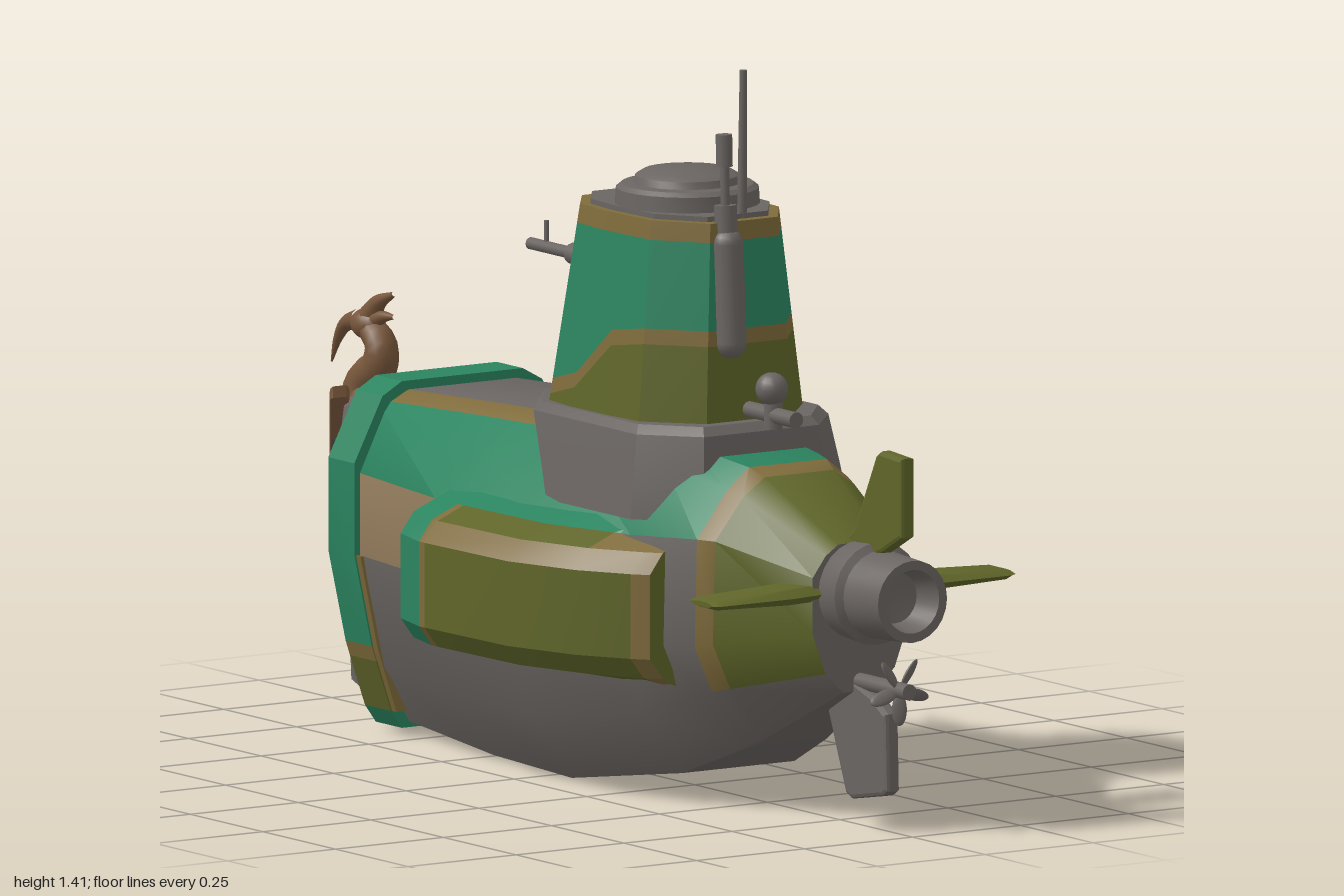
import * as THREE from 'three';
import { toCreasedNormals } from 'three/addons/utils/BufferGeometryUtils.js';

const mat = (name, color, side = THREE.FrontSide) => {
  const m = new THREE.MeshStandardMaterial({ color, side });
  m.name = name;
  return m;
};

export function createModel() {
  const root = new THREE.Group();
  root.name = 'submarine';
  const gray = mat('hull gray', 0x6a6562), teal = mat('teal paint', 0x2b8460), olive = mat('olive paint', 0x5f6529),
    ochre = mat('ochre trim', 0x7f6b3b), tan = mat('tan patch', 0x937c5c), brown = mat('carved brown', 0x77563b),
    dark = mat('dark opening', 0x3b3836);

  const add = (name, geo, m, x = 0, y = 0, z = 0) => {
    const mesh = new THREE.Mesh(geo, m);
    mesh.name = name;
    mesh.position.set(x, y, z);
    root.add(mesh);
    return mesh;
  };

  // skin a list of closed rings of [x, y, z]; pick(i, j) colours each quad, caps close the ends
  function loft(name, rings, pick, capA, capB, crease = 0.6) {
    const buckets = new Map();
    let volume = 0;
    const v = p => new THREE.Vector3(...p);
    const tri = (m, a, b, c) => {
      if (!buckets.has(m)) buckets.set(m, []);
      buckets.get(m).push([a, b, c]);
      volume += v(a).dot(v(b).cross(v(c)));
    };
    const n = rings[0].length;
    for (let i = 0; i < rings.length - 1; i++) for (let j = 0; j < n; j++) {
      const k = (j + 1) % n, A = rings[i], B = rings[i + 1], m = pick(i, j);
      tri(m, A[j], A[k], B[k]);
      tri(m, A[j], B[k], B[j]);
    }
    [[rings[0], capA, true], [rings[rings.length - 1], capB, false]].forEach(([r, m, first]) => {
      const c = [0, 1, 2].map(d => r.reduce((s, p) => s + p[d], 0) / n);
      r.forEach((p, j) => {
        const q = r[(j + 1) % n];
        first ? tri(m, c, q, p) : tri(m, c, p, q);
      });
    });
    const pos = [], mats = [...buckets.keys()];
    let geo = new THREE.BufferGeometry();
    mats.forEach((m, g) => {
      const start = pos.length / 3;
      buckets.get(m).forEach(([a, b, c]) => pos.push(...a, ...(volume > 0 ? b : c), ...(volume > 0 ? c : b)));
      geo.addGroup(start, pos.length / 3 - start, g);
    });
    geo.setAttribute('position', new THREE.Float32BufferAttribute(pos, 3));
    return add(name, toCreasedNormals(geo, crease), mats);
  }
  const mirrorRing = half => [...half, ...half.map(([x, y, z]) => [-x, y, z]).reverse()];

  // rod between two points
  const rod = (name, a, b, r0, r1 = r0, m = gray, seg = 12) => {
    const A = new THREE.Vector3(...a), B = new THREE.Vector3(...b), d = B.clone().sub(A);
    const mesh = add(name, new THREE.CylinderGeometry(r1, r0, d.length(), seg), m);
    mesh.position.copy(A).add(B).multiplyScalar(0.5);
    mesh.quaternion.setFromUnitVectors(new THREE.Vector3(0, 1, 0), d.normalize());
    return mesh;
  };
  const ball = (name, r, m, x, y, z, sx = 1, sy = 1, sz = 1) => {
    const b = add(name, new THREE.SphereGeometry(r, 16, 12), m, x, y, z);
    b.scale.set(sx, sy, sz);
    return b;
  };
  // plate outlined in (z, y), standing upright along the hull
  const plateGeo = (pts, t, bevel = 0.008) => {
    const g = new THREE.ExtrudeGeometry(new THREE.Shape(pts.map(p => new THREE.Vector2(...p))),
      { depth: t, bevelEnabled: bevel > 0, bevelSize: bevel, bevelThickness: bevel, bevelOffset: -bevel, bevelSegments: 2 });
    return g.translate(0, 0, -t / 2).rotateY(-Math.PI / 2);
  };

  // hull: z, then six (halfWidth, y) pairs from keel to deck
  const stations = [
    [-0.91, 0.015, 0.05, 0.02, 0.16, 0.03, 0.36, 0.03, 0.50, 0.03, 0.58, 0.02, 0.60],
    [-0.72, 0.08, 0.035, 0.135, 0.15, 0.175, 0.36, 0.175, 0.52, 0.16, 0.62, 0.12, 0.64],
    [-0.60, 0.12, 0.03, 0.18, 0.14, 0.23, 0.36, 0.23, 0.52, 0.165, 0.65, 0.125, 0.67],
    [-0.22, 0.15, 0.008, 0.24, 0.13, 0.28, 0.36, 0.285, 0.52, 0.17, 0.67, 0.125, 0.69],
    [0.05, 0.15, 0, 0.25, 0.13, 0.285, 0.34, 0.29, 0.52, 0.17, 0.68, 0.125, 0.70],
    [0.40, 0.13, 0.055, 0.22, 0.18, 0.255, 0.32, 0.25, 0.53, 0.17, 0.66, 0.11, 0.69],
    [0.57, 0.09, 0.125, 0.175, 0.24, 0.215, 0.33, 0.21, 0.54, 0.14, 0.63, 0.09, 0.67],
    [0.61, 0.08, 0.145, 0.16, 0.25, 0.20, 0.34, 0.195, 0.54, 0.13, 0.62, 0.08, 0.655],
    [0.82, 0.04, 0.26, 0.08, 0.30, 0.11, 0.38, 0.11, 0.49, 0.08, 0.53, 0.05, 0.55],
  ];
  const hullRings = stations.map(([z, ...p]) => mirrorRing([0, 2, 4, 6, 8, 10].map(k => [p[k], p[k + 1], z])));
  loft('hull', hullRings, (i, j) => {
    const k = j <= 5 ? j : 10 - j;
    if (i < 2 || k < 1) return gray;
    if (i === 6) return ochre;
    if (i === 7) return olive;
    if (k === 2) return i === 2 ? tan : gray;
    if (k === 3) return teal;
    if (k > 3 && i > 3) return teal;
    return k === 4 ? ochre : gray;
  }, gray, gray);

  // bow collar, stacked in colour bands
  const collar = [[0.14, 0.015], [0.165, 0.05], [0.2, 0.15], [0.21, 0.18], [0.25, 0.36], [0.25, 0.54], [0.185, 0.665], [0.14, 0.69]];
  const collarBand = (name, from, to, m, z0, z1, shrink = 1) => {
    const half = collar.slice(from, to + 1).map(([x, y]) => [x * shrink, y]);
    loft(name, [z0, z1].map(z => mirrorRing(half.map(([x, y]) => [x, y, z]))), () => m, m, m, 0.3);
  };
  collarBand('collarBase', 0, 1, teal, -0.64, -0.55);
  collarBand('collarLower', 1, 2, olive, -0.64, -0.55);
  collarBand('collarTrim', 2, 3, ochre, -0.64, -0.55);
  collarBand('collarUpper', 3, 7, teal, -0.64, -0.55);
  collarBand('collarEdge', 1, 4, ochre, -0.555, -0.535, 0.985);

  for (const s of [1, -1]) {
    // bow openings
    [[0.193, 0.52, -0.685, 0.075, 0.08, 0.3], [0.137, 0.40, -0.765, 0.03, 0.045, 0.64], [0.12, 0.27, -0.745, 0.03, 0.045, 0.6]]
      .forEach(([x, y, z, w, h, a]) => {
        const o = add('bowOpening', new THREE.BoxGeometry(0.009, h, w), dark, s * x, y, z);
        o.rotation.y = s * a;
      });

    // side pods
    const podZ = [[-0.19, 0.385], [-0.09, 0.41], [-0.07, 0.41], [0.2, 0.40], [0.36, 0.35], [0.46, 0.29], [0.49, 0.265]];
    loft('sidePod', podZ.map(([z, o]) => [[0.18, 0.23], [o - 0.03, 0.26], [o, 0.3], [o, 0.465], [o - 0.03, 0.505], [o - 0.09, 0.53], [0.17, 0.58]]
      .map(([x, y]) => [s * x, y, z])), (i, j) => {
      if (i === 0 || j >= 5) return teal;
      return i === 1 || i === 5 || j === 4 && i < 5 && i > 3 ? ochre : j === 3 ? ochre : olive;
    }, teal, olive, 0.5);
    add('podIntake', new THREE.BoxGeometry(0.075, 0.17, 0.008), gray, s * 0.325, 0.385, -0.191);

    // horizontal tail fins
    loft('tailFin', [[0.08, 0.70, 0.83, 0.016], [0.17, 0.725, 0.845, 0.015], [0.335, 0.735, 0.845, 0.01], [0.35, 0.75, 0.835, 0.005]]
      .map(([x, a, b, t]) => [[a, 0], [a + 0.03, t], [b - 0.02, t], [b, 0], [b - 0.02, -t], [a + 0.03, -t]]
        .map(([z, y]) => [s * x, 0.458 + y, z])), () => olive, olive, olive);
  }

  // casing below the tower
  const casing = (y, w, zs, zb) => mirrorRing([[0.6 * w, y, zs], [w, y, zs - 0.1], [w, y, zb + 0.12], [0.58 * w, y, zb]]);
  loft('towerCasing', [casing(0.56, 0.25, 0.5, -0.01), casing(0.62, 0.24, 0.495, -0.04), casing(0.72, 0.222, 0.48, -0.095), casing(0.737, 0.208, 0.465, -0.085)],
    () => gray, gray, gray, 0.5);

  // tower with a wavy paint line, stern high and bow low
  const towerCols = [[0.1, 0.44, 0.885], [0.19, 0.34, 0.885], [0.198, 0.24, 0.87], [0.2, 0.12, 0.775], [0.19, 0.03, 0.75], [0.115, -0.05, 0.75], [0.07, -0.05, 0.75]];
  const towerRing = yOf => mirrorRing(towerCols.map(([x, z, line]) => {
    const y = yOf(line), t = (y - 0.73) / 0.39;
    return [x * (1 - 0.22 * t), y, z + t * (z > 0.2 ? -0.02 : 0.045)];
  }));
  loft('tower', [() => 0.73, l => l, l => l + 0.03, () => 1.085, () => 1.122].map(towerRing), (i, j) => {
    if (j === 6) return gray;
    if (j === 5 || j === 7) return ochre;
    return [olive, ochre, teal, ochre][i];
  }, gray, ochre, 0.4);
  const top = towerRing(() => 1.122);
  loft('towerRoof', [1.118, 1.132].map(y => top.map(([x, , z]) => [x * 0.9, y, 0.21 + (z - 0.21) * 0.9])), () => gray, gray, gray, 0.4);

  // stepped dome
  const dome = [[0.14, 1.13], [0.138, 1.162], [0.128, 1.17], [0.105, 1.172], [0.1, 1.186], [0.085, 1.195], [0, 1.2]].map(p => new THREE.Vector2(...p));
  add('hatchDome', toCreasedNormals(new THREE.LatheGeometry(dome, 28), 0.5), gray, 0, 0, 0.225);
  add('domeWindow', new THREE.BoxGeometry(0.08, 0.018, 0.008), teal, 0, 1.147, 0.085);

  // mast and breathing tube
  rod('mast', [0.015, 1.08, 0.39], [0.015, 1.41, 0.395], 0.01, 0.007);
  const tube = add('breathingTube', new THREE.CapsuleGeometry(0.031, 0.19, 6, 14), gray, -0.04, 0.985, 0.428);
  tube.rotation.x = -0.06;
  rod('tubeNeck', [-0.04, 1.08, 0.42], [-0.04, 1.155, 0.415], 0.022);
  rod('tubeStem', [-0.04, 1.15, 0.415], [-0.04, 1.24, 0.412], 0.009);
  rod('tubeHead', [-0.04, 1.23, 0.412], [-0.04, 1.292, 0.41], 0.016);

  // stern lamp on the casing
  rod('lampBeam', [0, 0.757, 0.43], [0, 0.757, 0.6], 0.016);
  rod('lampPost', [0, 0.73, 0.52], [0, 0.8, 0.52], 0.018);
  ball('lampBall', 0.032, gray, -0.003, 0.808, 0.52);

  // bow gun on the tower
  ball('gunMount', 0.05, olive, 0, 0.94, -0.03, 1.1, 1.1, 0.8);
  rod('gunPedestal', [0, 0.74, -0.05], [0, 0.93, -0.03], 0.035, 0.028, olive);
  rod('gunBody', [0, 0.975, -0.02], [0, 0.978, -0.17], 0.021);
  rod('gunBarrel', [0, 0.978, -0.15], [0, 0.978, -0.315], 0.012);
  rod('gunSight', [0, 0.97, -0.26], [0, 1.03, -0.26], 0.005);
  rod('gunGrip', [0, 0.935, -0.03], [0, 0.935, -0.155], 0.013);
  rod('gunCrossbar', [-0.06, 0.95, -0.06], [0.06, 0.95, -0.06], 0.012);
  ball('gunJoint', 0.022, olive, 0, 0.975, -0.125);

  // deck handle
  const handle = add('deckHandle', new THREE.TorusGeometry(0.05, 0.004, 6, 16, Math.PI), gray, 0, 0.685, -0.17);
  handle.rotation.y = Math.PI / 2;
  handle.scale.y = 0.55;

  // stern nozzle
  const nozzle = [[0.08, 0.78], [0.097, 0.82], [0.1, 0.88], [0.086, 0.89], [0.08, 1], [0.062, 1], [0.05, 0.94], [0, 0.93]];
  const nozzleGeo = new THREE.LatheGeometry(nozzle.map(p => new THREE.Vector2(...p)), 24).rotateX(Math.PI / 2);
  add('nozzle', toCreasedNormals(nozzleGeo, 0.5), gray, 0, 0.458, 0);

  // upright fin and rudder
  add('uprightFin', plateGeo([[0.76, 0.53], [0.82, 0.58], [0.895, 0.73], [0.91, 0.74], [0.985, 0.735], [0.985, 0.58], [0.92, 0.545], [0.82, 0.5]], 0.016), olive);
  add('rudder', plateGeo([[0.93, 0.23], [0.935, 0.08], [0.92, 0.07], [0.81, 0.05], [0.79, 0.06], [0.73, 0.21], [0.74, 0.26], [0.79, 0.29], [0.88, 0.26]], 0.016), gray);

  // propeller
  rod('propellerShaft', [0, 0.28, 0.78], [0, 0.28, 0.99], 0.016);
  for (let i = 0; i < 5; i++) {
    const a = i * Math.PI * 0.4 - Math.PI / 2;
    const blade = ball('propellerBlade', 0.032, gray, Math.cos(a) * 0.038, 0.28 + Math.sin(a) * 0.038, 0.955, 1, 0.45, 0.16);
    blade.rotation.set(0, 0, a);
    blade.rotateX(0.6);
  }

  // bird figurehead: body, neck, head, curved beak, crest and wings
  const body = ball('birdBody', 0.075, brown, 0, 0.54, -0.875, 0.75, 1.5, 0.75);
  body.rotation.x = 0.2;
  const taperTube = (name, pts, r0, r1) => {
    const c = new THREE.CatmullRomCurve3(pts.map(([y, z]) => new THREE.Vector3(0, y, z))), g = new THREE.TubeGeometry(c, 14, 1, 10);
    const p = g.attributes.position;
    for (let i = 0; i < p.count; i++) {
      const t = Math.floor(i / 11) / 14, o = c.getPointAt(t), r = r0 + (r1 - r0) * t;
      const d = new THREE.Vector3().fromBufferAttribute(p, i).sub(o).multiplyScalar(r).add(o);
      p.setXYZ(i, d.x, d.y, d.z);
    }
    g.computeVertexNormals();
    add(name, g, brown);
  };
  taperTube('birdNeck', [[0.56, -0.89], [0.63, -0.88], [0.67, -0.835], [0.71, -0.83], [0.74, -0.865]], 0.05, 0.027);
  ball('birdHead', 0.034, brown, 0, 0.745, -0.875, 0.9, 0.9, 1.25);
  taperTube('birdBeak', [[0.75, -0.9], [0.735, -0.95], [0.70, -0.98], [0.655, -1]], 0.022, 0.002);
  taperTube('birdCrest', [[0.76, -0.87], [0.79, -0.84], [0.815, -0.785]], 0.024, 0.005);
  taperTube('birdCrestLow', [[0.75, -0.86], [0.765, -0.825], [0.77, -0.785]], 0.02, 0.004);
  for (const s of [1, -1]) {
    const g = plateGeo([[-0.92, 0.42], [-0.86, 0.44], [-0.81, 0.50], [-0.78, 0.54], [-0.735, 0.635], [-0.785, 0.61], [-0.8, 0.645], [-0.84, 0.61], [-0.92, 0.57]], 0.03);
    const p = g.attributes.position;
    for (let i = 0; i < p.count; i++) p.setX(i, p.getX(i) + s * (0.035 + 0.68 * (p.getZ(i) + 0.92)));
    g.computeVertexNormals();
    add('birdWing', g, brown);
  }
  return root;
}
